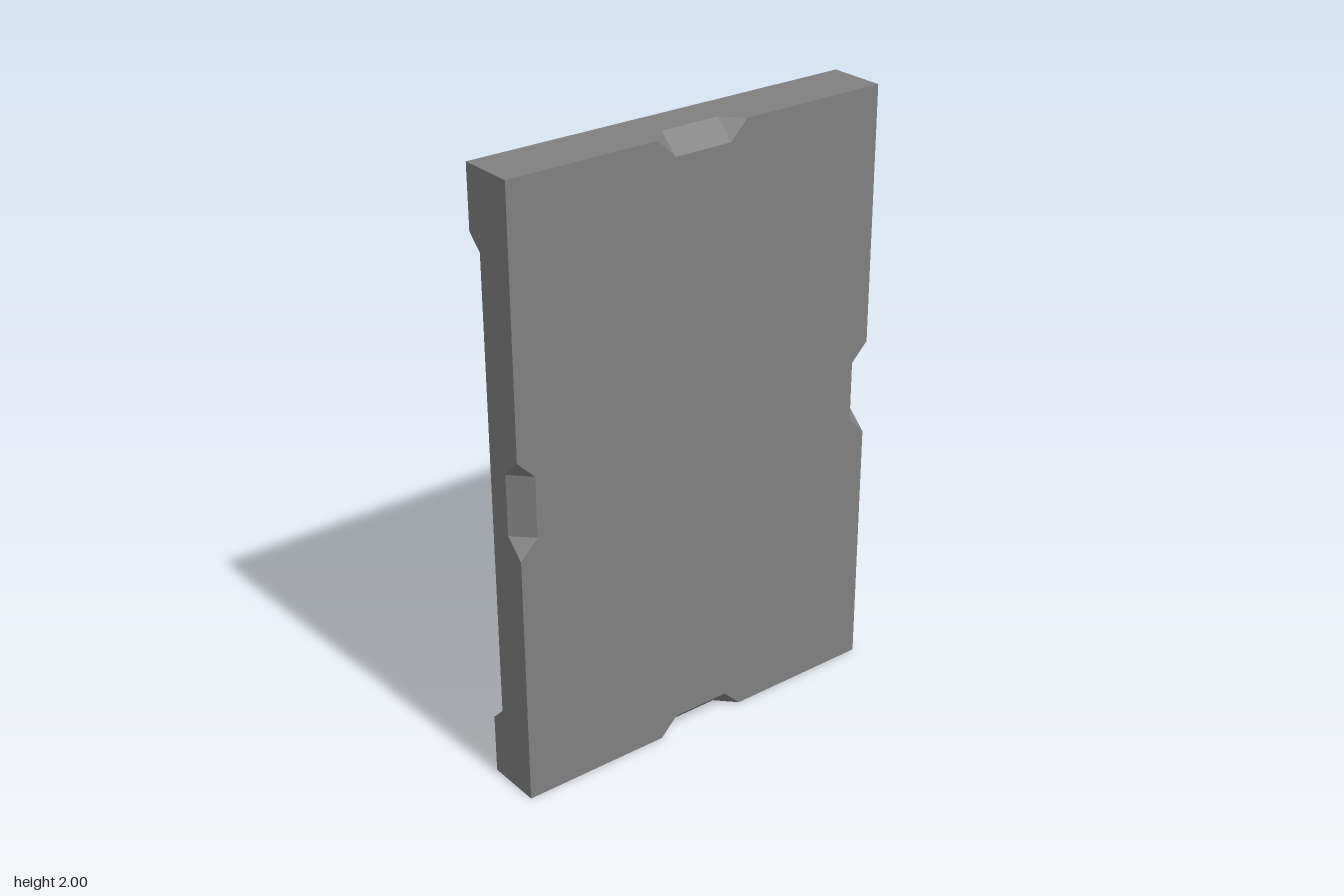
import * as THREE from 'three';

const HZ = 0.667;      // half width along z
const BACK = -0.095;   // outer face of the rails
const RECESS = -0.047; // recessed face between the rails
const SPLIT = 0.03;    // where the edge notches begin
const FACE = 0.092;    // flat face
const NOTCH = 0.06;

const vec = ([a, b]) => new THREE.Vector2(a, b);

// Rectangle outline (z, y) with a tapered notch of depth d in the middle of every side
function notchedOutline(d) {
  const w = 0.1 + d;
  const side = (len, off) => [[-len, off], [-w, off], [-0.1, off - d], [0.1, off - d], [w, off]];
  const pts = [];
  side(HZ, 1).forEach(([a, o]) => pts.push([a, 1 + o]));
  side(1, HZ).forEach(([a, o]) => pts.push([o, 1 - a]));
  side(HZ, 1).forEach(([a, o]) => pts.push([-a, 1 - o]));
  side(1, HZ).forEach(([a, o]) => pts.push([-o, 1 + a]));
  return pts; // clockwise in (z, y)
}

// Front layer: loft from the plain outline to the notched one, then cap it
function notchedLayer() {
  const a = notchedOutline(0), b = notchedOutline(NOTCH);
  const pos = [];
  const put = (x, p) => pos.push(x, p[1], p[0]);
  a.forEach((p, i) => {
    const j = (i + 1) % a.length;
    put(SPLIT, p); put(SPLIT, a[j]); put(FACE, b[j]);
    put(SPLIT, p); put(FACE, b[j]); put(FACE, b[i]);
  });
  THREE.ShapeUtils.triangulateShape(b.map(vec), []).forEach((t) => {
    const [p, q, r] = t.map((k) => b[k]);
    const area = (q[0] - p[0]) * (r[1] - p[1]) - (q[1] - p[1]) * (r[0] - p[0]);
    (area < 0 ? [p, q, r] : [p, r, q]).forEach((v) => put(FACE, v));
  });
  const g = new THREE.BufferGeometry();
  g.setAttribute('position', new THREE.Float32BufferAttribute(pos, 3));
  g.computeVertexNormals();
  return g;
}

export function createModel() {
  const group = new THREE.Group();
  const grey = new THREE.MeshStandardMaterial({ color: 0x808080, side: THREE.DoubleSide });
  grey.name = 'grey';
  const add = (name, geometry) => {
    const mesh = new THREE.Mesh(geometry, grey);
    mesh.name = name;
    group.add(mesh);
  };

  // Slab with a thick rail at the top and bottom
  const profile = [[SPLIT, 0], [SPLIT, 2], [BACK, 2], [BACK, 1.8], [RECESS, 1.752],
    [RECESS, 0.248], [BACK, 0.2], [BACK, 0]];
  const slab = new THREE.ExtrudeGeometry(new THREE.Shape(profile.map(vec)),
    { depth: 2 * HZ, bevelEnabled: false });
  slab.translate(0, 0, -HZ);
  add('railedSlab', slab);
  add('notchedFace', notchedLayer());

  // Raised diagonal stripes in the recess
  const slope = 1.17, zr = HZ - 0.005, yt = 1.75, yb = 0.25;
  const yAt = (c, z) => c - slope * z;
  const zAt = (c, y) => (c - y) / slope;
  const corner = [[zr, yt], [zAt(2.13, yt), yt], [zr, yAt(2.13, zr)]];
  const middle = [[-zr, yAt(0.62, -zr)], [zAt(0.62, yb), yb], [zr, yb],
    [zr, yAt(1.38, zr)], [zAt(1.38, yt), yt], [-zr, yt]];
  const stripes = {
    upperStripe: corner,
    middleStripe: middle,
    lowerStripe: corner.map(([z, y]) => [-z, 2 - y]),
  };
  const rise = 0.012, sunk = 0.015;
  for (const [name, pts] of Object.entries(stripes)) {
    const g = new THREE.ExtrudeGeometry(new THREE.Shape(pts.map(vec)), {
      depth: sunk, bevelThickness: rise, bevelSize: 0.016, bevelOffset: -0.016, bevelSegments: 1,
    });
    g.rotateY(-Math.PI / 2);
    g.translate(RECESS + sunk, 0, 0);
    add(name, g);
  }
  return group;
}
